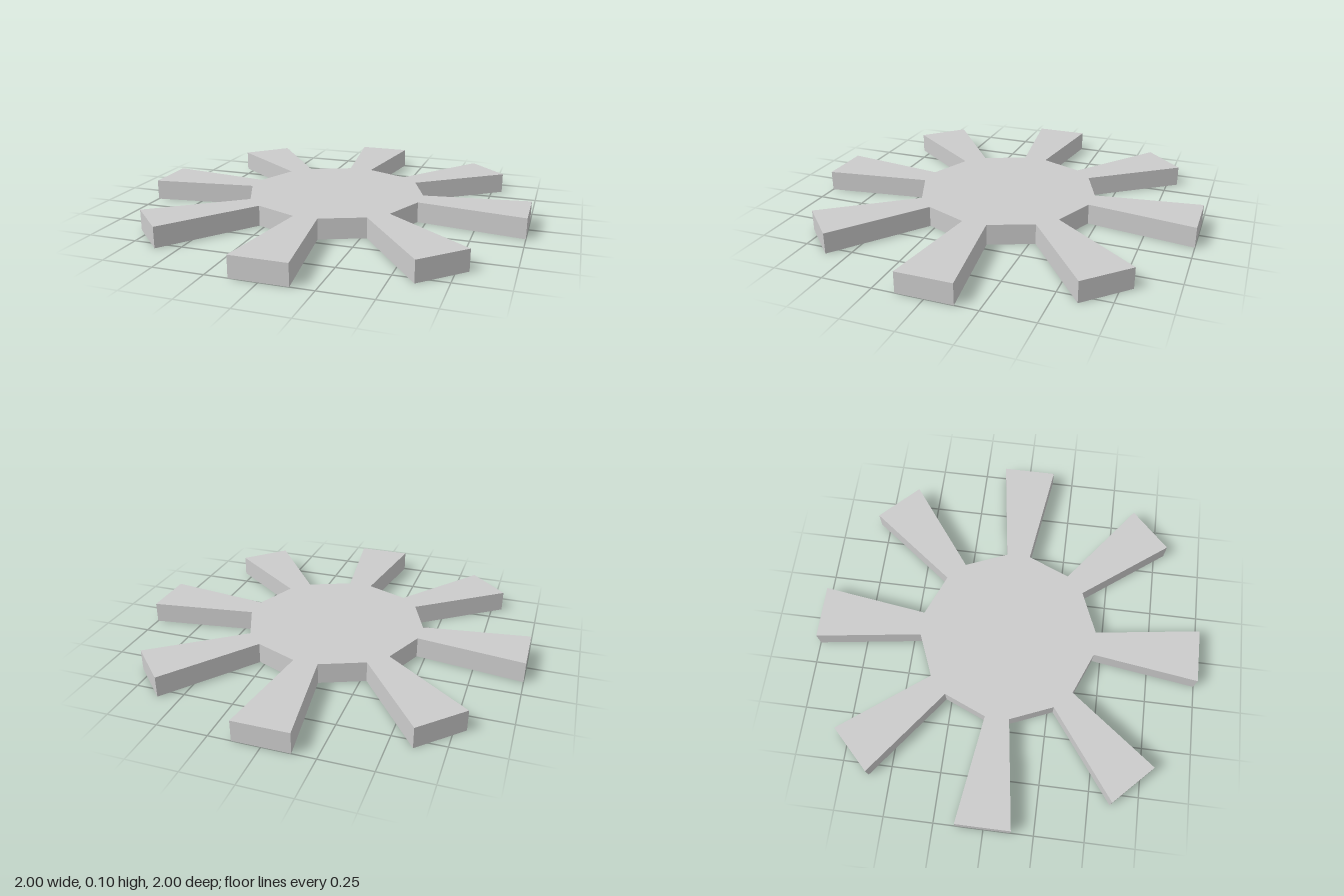
import * as THREE from 'three';

const SPOKES = 8, HEIGHT = 0.105;
const ROOT = [0.457, 0.062]; // radius, half width where a spoke meets the hub
const TIP = [1, 0.138];      // radius, half width at the outer end

export function createModel() {
  const group = new THREE.Group();

  // Star-like outline: each spoke flares outwards, straight hub edges join the roots
  const points = [];
  for (let i = 0; i < SPOKES; i++) {
    const angle = (i / SPOKES) * Math.PI * 2;
    const corners = [[ROOT[0], -ROOT[1]], [TIP[0], -TIP[1]], [TIP[0], TIP[1]], [ROOT[0], ROOT[1]]];
    for (const [r, w] of corners) {
      points.push(new THREE.Vector2(r, w).rotateAround(new THREE.Vector2(), angle));
    }
  }

  // Flat plate lying on the ground
  const geometry = new THREE.ExtrudeGeometry(new THREE.Shape(points), { depth: HEIGHT, bevelEnabled: false });
  geometry.rotateX(-Math.PI / 2);
  const wheel = new THREE.Mesh(geometry, new THREE.MeshStandardMaterial({ color: 0xcccccc, flatShading: true }));
  wheel.name = 'spokedWheel';
  group.add(wheel);
  return group;
}
